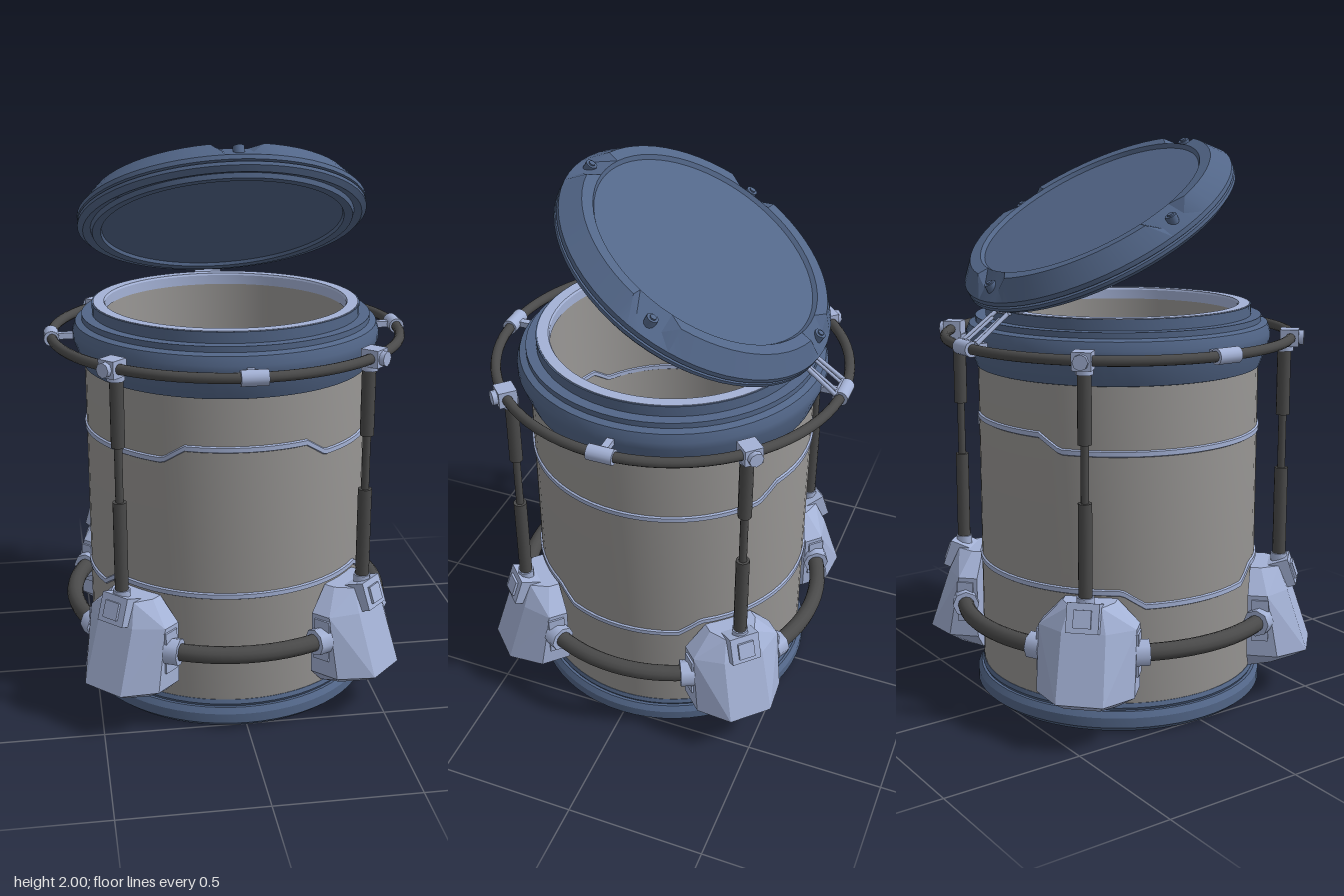
import * as THREE from 'three';
import { toCreasedNormals } from 'three/addons/utils/BufferGeometryUtils.js';
import { ConvexGeometry } from 'three/addons/geometries/ConvexGeometry.js';

const mat = (color) => new THREE.MeshStandardMaterial({ color });
const blue = mat(0x526688), light = mat(0xa4b2d6), dark = mat(0x4a4a4a), grey = mat(0x999795);
const SEG = 64;

function add(parent, name, geo, material, x = 0, y = 0, z = 0) {
  const m = new THREE.Mesh(geo, material);
  m.name = name;
  m.position.set(x, y, z);
  parent.add(m);
  return m;
}

const lathe = (pts) => new THREE.LatheGeometry(pts.map(([r, y]) => new THREE.Vector2(r, y)), SEG);
const turned = (pts) => toCreasedNormals(lathe(pts), 0.5);
const cyl = (r, h, n = 12) => new THREE.CylinderGeometry(r, r, h, n);

// Horizontal ring of tube
function ring(R, r) {
  return new THREE.TorusGeometry(R, r, 12, 80).rotateX(Math.PI / 2);
}

// Straight rod between two points
function rod(parent, name, a, b, r, material) {
  const va = new THREE.Vector3(...a), vb = new THREE.Vector3(...b);
  const m = add(parent, name, cyl(r, va.distanceTo(vb), 8), material);
  m.position.copy(va).add(vb).multiplyScalar(0.5);
  m.quaternion.setFromUnitVectors(new THREE.Vector3(0, 1, 0), vb.sub(va).normalize());
}

// Trim strip around the wall, with its height stepping over two opposite arcs
function trim(r0, r1, y, step, phase) {
  const n = 180, section = [[r0, -0.013], [r1, -0.008], [r1, 0.008], [r0, 0.013]];
  const pos = [], idx = [];
  for (let i = 0; i <= n; i++) {
    const a = (i / n) * Math.PI * 2;
    const off = Math.asin(Math.abs(Math.sin(a - phase))) * 180 / Math.PI;
    const h = y + step * THREE.MathUtils.clamp((33 - off) / 9, 0, 1);
    for (const [r, dy] of section) pos.push(r * Math.sin(a), h + dy, r * Math.cos(a));
    if (i < n) for (let j = 0; j < 3; j++) {
      const p = i * 4 + j, q = p + 4;
      idx.push(p, q, q + 1, p, q + 1, p + 1);
    }
  }
  const g = new THREE.BufferGeometry();
  g.setAttribute('position', new THREE.Float32BufferAttribute(pos, 3));
  g.setIndex(idx);
  g.computeVertexNormals();
  return toCreasedNormals(g, 0.5);
}

// Faceted corner block: hull of stepped outlines (y, half width, shoulder, outer face, outer half width)
function footGeometry() {
  const rows = [
    [0.11, 0.1, 0.58, 0.66, 0.06],
    [0.175, 0.168, 0.61, 0.71, 0.08],
    [0.4, 0.168, 0.57, 0.635, 0.075],
    [0.48, 0.09, 0.54, 0.6, 0.055],
  ];
  const pts = [];
  for (const [y, hw, mid, out, ow] of rows)
    for (const s of [-1, 1])
      for (const [x, z] of [[hw, 0.5], [hw, mid], [ow, out]])
        pts.push(new THREE.Vector3(s * x, y + (y < 0.15 ? (z - 0.5) * 0.2 : 0), z));
  return new ConvexGeometry(pts);
}

function buildLid() {
  const lid = new THREE.Group();
  lid.name = 'lid';
  const profile = [[0, 0.012], [0.428, 0.012], [0.432, 0], [0.462, -0.002], [0.468, 0.014], [0.495, 0.006],
    [0.513, 0.022], [0.513, 0.034], [0.505, 0.038], [0.513, 0.042], [0.513, 0.058],
    [0.46, 0.12], [0.42, 0.118], [0.41, 0.104], [0, 0.104]];
  const g = lathe(profile), p = g.attributes.position, n = profile.length;
  // Four notches pressed into the bevel
  for (let i = 0; i <= SEG; i++) {
    const k = i % (SEG / 4), d = Math.min(k, SEG / 4 - k);
    if (d > 1) continue;
    const a = (i / SEG) * Math.PI * 2, v = i * n + 11;
    p.setXYZ(v, 0.475 * Math.sin(a), 0.082, 0.475 * Math.cos(a));
  }
  add(lid, 'lidPanel', toCreasedNormals(g, 0.35), blue);
  for (let i = 0; i < 4; i++) {
    const a = i * Math.PI / 2, x = 0.468 * Math.sin(a), z = 0.468 * Math.cos(a);
    add(lid, 'lidBolt', cyl(0.02, 0.03), blue, x, 0.088, z);
    add(lid, 'lidBoltCore', cyl(0.011, 0.04, 8), blue, x, 0.088, z);
  }
  lid.position.set(0, 1.664, -0.068);
  lid.rotation.x = -Math.PI / 6;
  return lid;
}

// Corner assembly, built facing +z: block, strut and clamps
function buildCorner() {
  const c = new THREE.Group();
  c.name = 'cornerSupport';
  add(c, 'footBlock', footGeometry(), light);
  add(c, 'footCap', new THREE.BoxGeometry(0.11, 0.1, 0.08), light, 0, 0.445, 0.61).rotation.x = -0.33;
  add(c, 'footCapInset', new THREE.BoxGeometry(0.06, 0.06, 0.02), light, 0, 0.455, 0.648).rotation.x = -0.33;
  add(c, 'strutSocket', cyl(0.03, 0.04, 8), light, 0, 0.495, 0.597);
  add(c, 'strutLower', cyl(0.024, 0.34), dark, 0, 0.665, 0.597);
  add(c, 'strutRod', cyl(0.014, 0.24), dark, 0, 0.93, 0.597);
  add(c, 'strutUpper', cyl(0.024, 0.25), dark, 0, 1.155, 0.597);
  add(c, 'railClamp', new THREE.BoxGeometry(0.065, 0.06, 0.065), light, 0, 1.308, 0.615);
  add(c, 'clampKnob', cyl(0.026, 0.03, 8).rotateX(Math.PI / 2), light, 0, 1.308, 0.65);
  add(c, 'clampStem', cyl(0.03, 0.03, 8), light, 0, 1.275, 0.6);
  for (const s of [-1, 1]) {
    const a = s * 0.32;
    const sleeve = add(c, 'railSleeve', cyl(0.048, 0.05, 8).rotateZ(Math.PI / 2), light,
      0.57 * Math.sin(a), 0.31, 0.57 * Math.cos(a));
    sleeve.rotation.y = a;
    add(c, 'sidePlate', new THREE.BoxGeometry(0.03, 0.15, 0.06), light, s * 0.16, 0.31, 0.545);
  }
  return c;
}

// Clip on the upper rail with its spoke, built facing +z
function buildClip() {
  const c = new THREE.Group();
  c.name = 'railClip';
  add(c, 'clipSleeve', cyl(0.027, 0.09, 16).rotateZ(Math.PI / 2), light, 0, 1.308, 0.62);
  add(c, 'clipSpoke', new THREE.BoxGeometry(0.025, 0.022, 0.1), light, 0, 1.308, 0.565);
  return c;
}

export function createModel() {
  const model = new THREE.Group();
  model.name = 'lidded canister';

  // Base ring and underside
  add(model, 'base', turned([[0, 0.015], [0.22, 0.015], [0.23, 0.025], [0.42, 0.025], [0.44, 0],
    [0.505, 0], [0.528, 0.02], [0.528, 0.055], [0.515, 0.075], [0.505, 0.075], [0.51, 0.085],
    [0.505, 0.1], [0.49, 0.1]]), blue);

  // Hollow wall with floor
  add(model, 'wall', turned([[0.5, 0.08], [0.505, 0.11], [0.505, 1.22], [0.46, 1.25], [0.46, 1.4],
    [0.43, 1.4], [0.43, 0.12], [0, 0.12]]), grey);

  // Collar and rim
  add(model, 'collar', turned([[0.495, 1.2], [0.51, 1.205], [0.545, 1.3], [0.545, 1.325], [0.535, 1.355],
    [0.512, 1.362], [0.512, 1.382], [0.475, 1.382], [0.475, 1.42], [0.468, 1.42]]), blue);
  add(model, 'rim', turned([[0.47, 1.39], [0.47, 1.422], [0.432, 1.422], [0.428, 1.415], [0.428, 1.38]]), light);

  // Stepped trims outside and inside
  for (const [y, step, phase] of [[0.978, 0.05, 0], [0.498, -0.05, Math.PI / 2]]) {
    add(model, 'outerTrim', trim(0.502, 0.511, y, step, phase), light);
    const inner = add(model, 'innerTrim', trim(0.432, 0.425, y, step, phase), light.clone());
    inner.material.side = THREE.DoubleSide;
  }

  // Rails
  add(model, 'upperRail', ring(0.62, 0.018), dark);
  model.children.at(-1).position.y = 1.308;
  add(model, 'lowerRail', ring(0.57, 0.03), dark, 0, 0.31, 0);

  for (let i = 0; i < 4; i++) {
    const corner = buildCorner(), clip = buildClip();
    corner.rotation.y = Math.PI / 4 + i * Math.PI / 2;
    clip.rotation.y = i * Math.PI / 2;
    model.add(corner, clip);
  }

  model.add(buildLid());

  // Wire hinge between the lid and the rear clip
  const hinge = new THREE.Group();
  hinge.name = 'hinge';
  for (const s of [-1, 1]) {
    rod(hinge, 'hingeArm', [s * 0.05, 1.325, -0.605], [s * 0.04, 1.42, -0.475], 0.008, light);
    rod(hinge, 'hingeInnerArm', [s * 0.025, 1.325, -0.605], [s * 0.025, 1.4, -0.5], 0.006, light);
  }
  rod(hinge, 'hingeBar', [-0.05, 1.325, -0.605], [0.05, 1.325, -0.605], 0.008, light);
  rod(hinge, 'hingePin', [-0.05, 1.42, -0.475], [0.05, 1.42, -0.475], 0.009, light);
  model.add(hinge);
  return model;
}
